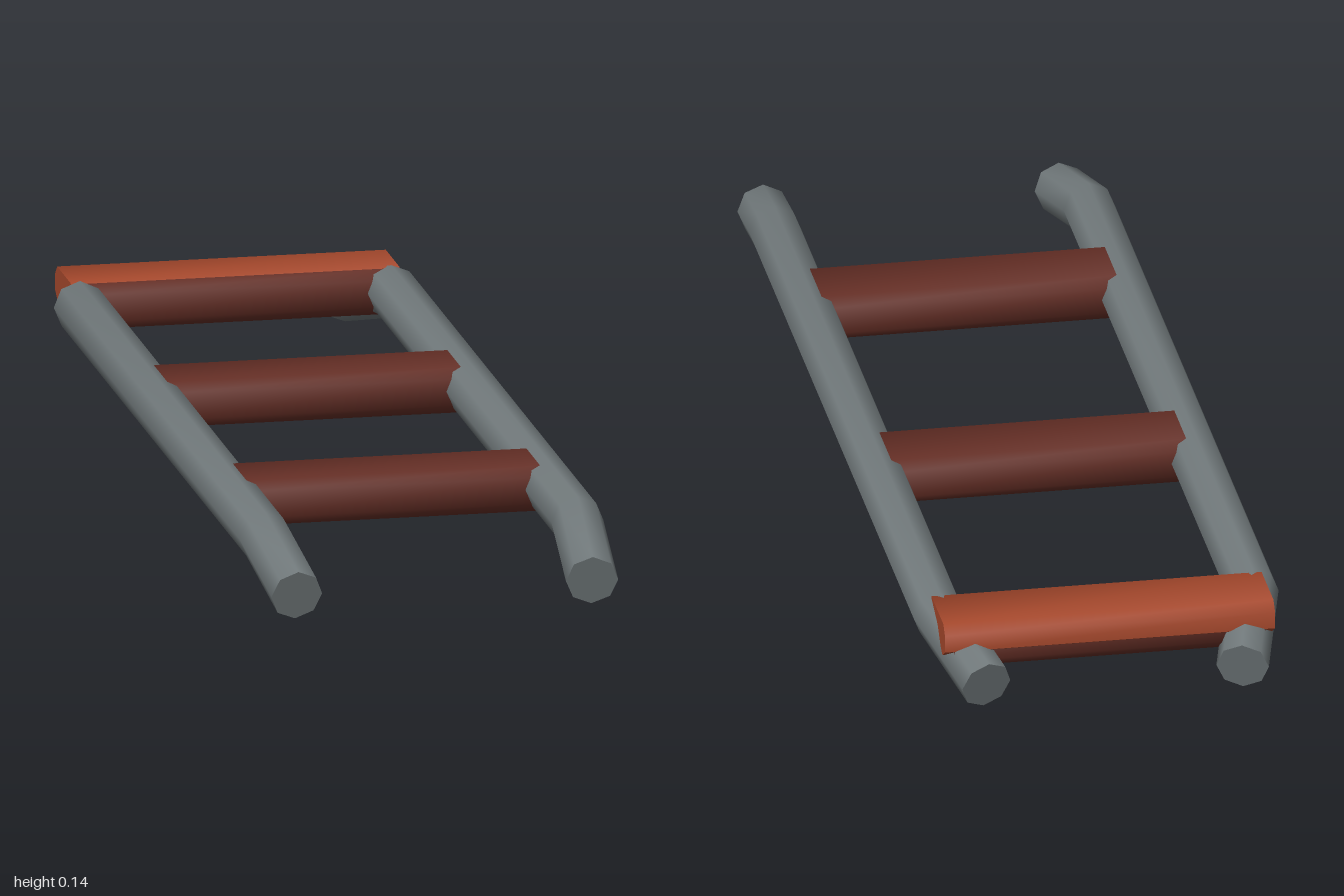
import * as THREE from 'three';
import { toCreasedNormals } from 'three/addons/utils/BufferGeometryUtils.js';

const V = (x, y, z) => new THREE.Vector3(x, y, z);

// Octagonal bar swept along a polyline, with mitred bends and flat ends
function barGeometry(path, radius, sides = 8) {
  const pos = [], index = [];
  const last = path.length - 1;
  path.forEach((p, i) => {
    const t = V(0, 0, 0);
    if (i > 0) t.add(p.clone().sub(path[i - 1]).normalize());
    if (i < last) t.add(path[i + 1].clone().sub(p).normalize());
    t.normalize();
    const u = V(0, 1, 0).cross(t).normalize();
    const v = t.clone().cross(u);
    for (let j = 0; j < sides; j++) {
      const a = (j / sides) * Math.PI * 2;
      const q = p.clone().addScaledVector(u, radius * Math.cos(a)).addScaledVector(v, radius * Math.sin(a));
      pos.push(q.x, q.y, q.z);
    }
  });
  for (let i = 0; i < last; i++) {
    for (let j = 0; j < sides; j++) {
      const k = (j + 1) % sides;
      const a = i * sides + j, b = i * sides + k;
      index.push(a, b, a + sides, b, b + sides, a + sides);
    }
  }
  const end = last * sides;
  for (let j = 1; j < sides - 1; j++) {
    index.push(0, j + 1, j, end, end + j, end + j + 1);
  }
  const g = new THREE.BufferGeometry();
  g.setAttribute('position', new THREE.Float32BufferAttribute(pos, 3));
  g.setIndex(index);
  return toCreasedNormals(g, 0.9);
}

// Prism across the rails; outline points are (-z, y)
function crossPrism(outline, halfLength) {
  const shape = new THREE.Shape(outline.map(([x, y]) => new THREE.Vector2(x, y)));
  const g = new THREE.ExtrudeGeometry(shape, { depth: halfLength * 2, bevelEnabled: false });
  g.translate(0, 0, -halfLength);
  g.rotateY(Math.PI / 2);
  return toCreasedNormals(g, 0.9);
}

export function createModel() {
  const model = new THREE.Group();
  model.name = 'ladder';
  const material = (name, color) => {
    const m = new THREE.MeshStandardMaterial({ color });
    m.name = name;
    return m;
  };
  const grey = material('grey metal', 0x71797b);
  const brown = material('dark red brown', 0x642e25);
  const orange = material('rust orange', 0xa5482c);

  const add = (name, geometry, mat) => {
    const mesh = new THREE.Mesh(geometry, mat);
    mesh.name = name;
    model.add(mesh);
    return mesh;
  };

  // Side rails, bent down and inwards at both ends
  for (const [name, s] of [['leftRail', 1], ['rightRail', -1]]) {
    add(name, barGeometry([
      V(s * 0.257, 0.046, 0.99),
      V(s * 0.272, 0.098, 0.79),
      V(s * 0.272, 0.098, -0.8),
      V(s * 0.222, 0.046, -0.988),
    ], 0.045), grey);
  }

  // Three evenly spaced rungs with chamfered long edges
  const w = 0.075, lo = 0.056, hi = 0.136, c = 0.017;
  const rung = crossPrism([
    [-w + c, lo], [w - c, lo], [w, lo + c], [w, hi - c],
    [w - c, hi], [-w + c, hi], [-w, hi - c], [-w, lo + c],
  ], 0.27);
  [['frontRung', 0.49], ['middleRung', -0.19], ['backRung', -0.868]].forEach(([name, z]) => {
    add(name, rung, brown).position.z = z;
  });

  // Orange cover on the top and back of the last rung
  add('backRungCover', crossPrism([
    [0.802, 0.126], [0.92, 0.076], [0.945, 0.092],
    [0.945, 0.122], [0.928, 0.138], [0.812, 0.138],
  ], 0.286), orange);

  return model;
}
